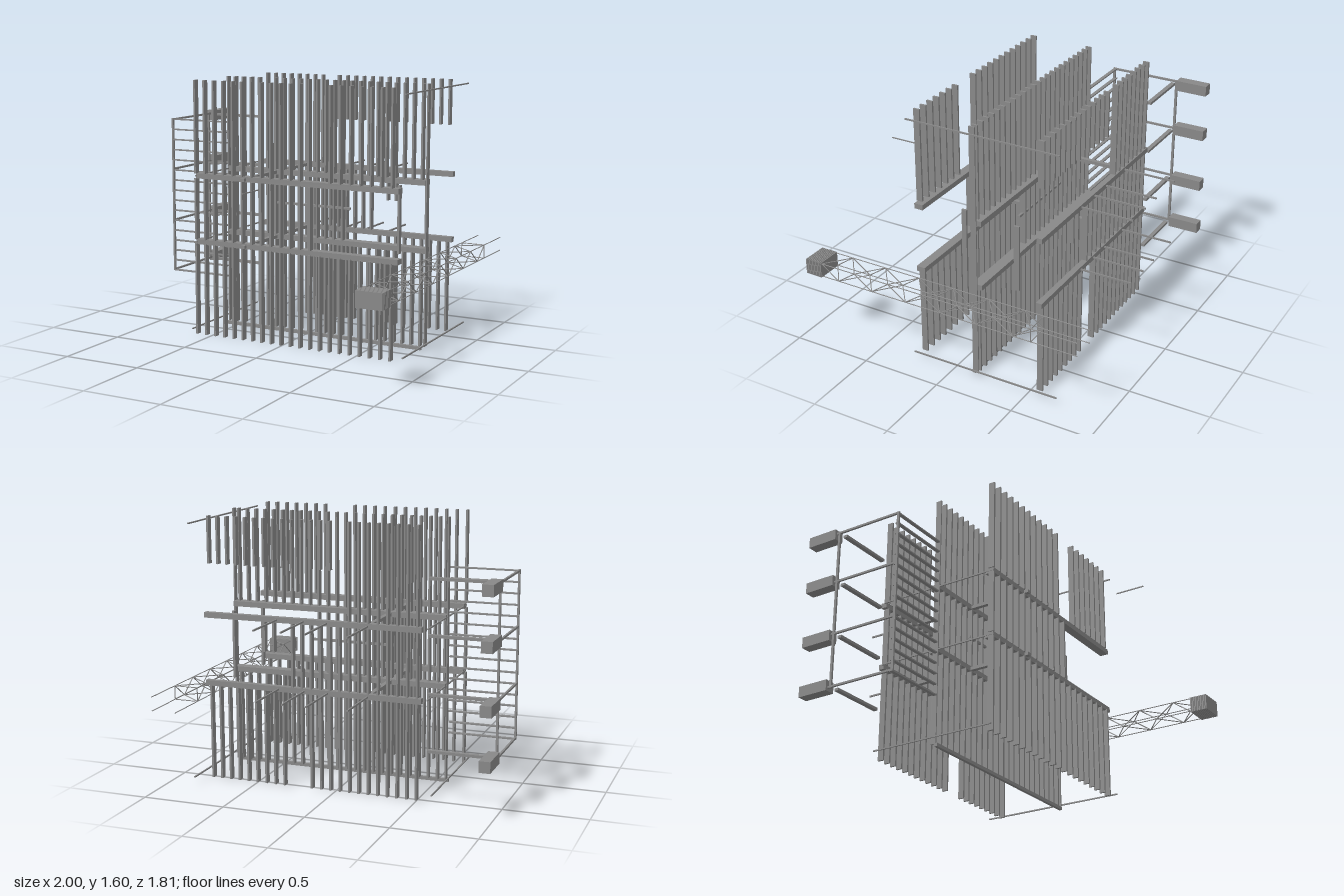
import * as THREE from 'three';

const mat = new THREE.MeshStandardMaterial({ color: 0x888888, flatShading: true });

// Box given by its min and max on each axis
function bar(parent, name, x0, x1, y0, y1, z0, z1) {
  const mesh = new THREE.Mesh(new THREE.BoxGeometry(x1 - x0, y1 - y0, z1 - z0), mat);
  mesh.position.set((x0 + x1) / 2, (y0 + y1) / 2, (z0 + z1) / 2);
  mesh.name = name;
  parent.add(mesh);
}

// Thin rod between two points
function rod(parent, name, a, b, r) {
  const p = new THREE.Vector3(...a), q = new THREE.Vector3(...b);
  const d = q.clone().sub(p);
  const mesh = new THREE.Mesh(new THREE.CylinderGeometry(r, r, d.length(), 6), mat);
  mesh.position.copy(p).add(q).multiplyScalar(0.5);
  mesh.quaternion.setFromUnitVectors(new THREE.Vector3(0, 1, 0), d.normalize());
  mesh.name = name;
  parent.add(mesh);
}

function group(parent, name) {
  const g = new THREE.Group();
  g.name = name;
  parent.add(g);
  return g;
}

// One row of upright fins in three storeys; span(x) lists [bottom, top] pairs
function finRow(parent, name, z, start, pitch, span) {
  const g = group(parent, name);
  for (let x = start; x < 0.77; x += pitch)
    for (const [y0, y1] of span(x)) bar(g, 'fin', x - 0.006, x + 0.006, y0, y1, z - 0.019, z + 0.019);
}

export function createModel() {
  const model = new THREE.Group();
  model.name = 'louvredFrame';
  const LOW = [0.02, 0.595], MID = [0.62, 1.0], TOP = [1.03, 1.6];

  // Fin rows, with openings in the facade
  finRow(model, 'frontFins', 0.238, -0.566, 0.0657, x => {
    const s = [LOW];
    if (x < 0.24) s.push(MID);
    if (x < 0.18 || x > 0.31) s.push(TOP);
    return s;
  });
  finRow(model, 'middleFins', -0.148, -0.512, 0.0582, x => x < 0.25 ? [LOW, MID, TOP] : [LOW, TOP]);
  finRow(model, 'backFins', -0.56, -0.512, 0.0582, x => {
    const s = [];
    if (x < 0.14 || x > 0.25) s.push(LOW);
    if (x < 0.25) s.push(MID);
    else if (x > 0.33 && x < 0.42) s.push([0.82, 1.0]);
    if (x < -0.05) s.push(TOP);
    else if (x > 0.01) s.push([1.32, 1.6]);
    return s;
  });

  // Floor beams and cross beams on both levels
  const beams = group(model, 'floorBeams');
  [0.605, 1.015].forEach((y, level) => {
    bar(beams, 'frontBeam', -0.565, 0.79, y - 0.016, y + 0.016, 0.195, 0.25);
    bar(beams, 'middleBeam', -0.565, 0.795, y - 0.016, y + 0.016, -0.195, -0.13);
    bar(beams, 'backBeam', -0.54, 0.8, y - 0.016, y + 0.016, -0.583, -0.547);
    bar(beams, 'crossBeam', -0.233, -0.207, y - 0.01, y + 0.01, -0.54, 0.275);
    bar(beams, 'endBeam', -0.567, -0.559, y - 0.004, y + 0.004, -0.54, 0.255);
    for (const [x, shift] of [[-0.22, 0], [0.025, 0.003], [0.17, 0.003], [0.33, 0.008]]) {
      const px = x + level * shift;
      bar(beams, 'backPole', px - 0.004, px + 0.004, y - 0.005, y + 0.005, -0.905, -0.583);
    }
  });
  bar(beams, 'bottomBeam', -0.575, 0.785, 0, 0.02, -0.135, -0.115);
  bar(beams, 'middleRail', -0.23, 0.295, 0.813, 0.827, -0.155, -0.14);

  // Posts and long side rails
  const posts = group(model, 'posts');
  for (const x of [-0.565, 0.8])
    bar(posts, 'endPost', x - 0.004, x + 0.004, 0.02, 1.6, -0.167, -0.13);
  bar(posts, 'innerPost', 0.673, 0.687, 0.6, 1.01, -0.03, 0);
  bar(posts, 'innerPost', 0.698, 0.712, 0.6, 1.01, -0.388, -0.355);
  for (const y of [0.05, 1.567])
    bar(posts, 'sideRail', 0.827, 0.835, y - 0.004, y + 0.004, -0.7, 0.26);
  bar(posts, 'sideRail', -0.6, -0.593, 0.046, 0.054, -0.55, 0.26);
  bar(posts, 'looseRod', 0.122, 0.128, 1.032, 1.038, 0.68, 0.86);

  // Ladder screen on the side, carried by arms with end blocks
  const screen = group(model, 'sideScreen');
  for (let i = 0; i < 16; i++) {
    const y = 0.313 + i * 0.0664;
    bar(screen, 'rung', -0.985, -0.575, y - 0.004, y + 0.004, -0.15, -0.128);
  }
  bar(screen, 'screenPost', -0.986, -0.974, 0.31, 1.315, -0.14, -0.125);
  bar(screen, 'backScreenPost', -0.986, -0.974, 0.31, 1.315, -0.575, -0.56);
  for (const [y, edge] of [[0.328, 0.318], [0.638, 0.648], [0.992, 0.985], [1.298, 1.308]]) {
    bar(screen, 'sideArm', -0.986, -0.974, edge - 0.006, edge + 0.006, -0.6, -0.125);
    bar(screen, 'backArm', -0.935, -0.575, edge - 0.008, edge + 0.008, -0.577, -0.55);
    bar(screen, 'endBlock', -1, -0.935, y - 0.033, y + 0.033, -0.785, -0.585);
  }

  // Lattice boom: four chords, with zigzag braces mirrored on opposite faces
  const boom = group(model, 'latticeBoom');
  const X = [0.84, 0.988], Y = [0.495, 0.578], n = 12, z0 = -0.62, step = 1.41 / n;
  for (const x of X) for (const y of Y) rod(boom, 'chord', [x, y, -0.905], [x, y, 0.8], 0.003);
  for (let i = 0; i < n; i++) {
    const a = z0 + i * step, b = a + step;
    for (const side of [0, 1]) {
      const s = (i + side) % 2;
      rod(boom, 'brace', [X[s], Y[side], a], [X[1 - s], Y[side], b], 0.003);
      rod(boom, 'brace', [X[side], Y[s], a], [X[side], Y[1 - s], b], 0.003);
    }
  }
  for (const y of Y) rod(boom, 'endTie', [X[0], y, z0], [X[1], y, z0], 0.003);
  for (const x of X) rod(boom, 'endTie', [x, Y[0], z0], [x, Y[1], z0], 0.003);

  // Stack of plates at the boom end
  for (let i = 0; i < 10; i++) {
    const z = 0.792 + i * 0.0112;
    bar(boom, 'endPlate', 0.836, 0.996, 0.488, 0.584, z, z + 0.008);
  }

  return model;
}
